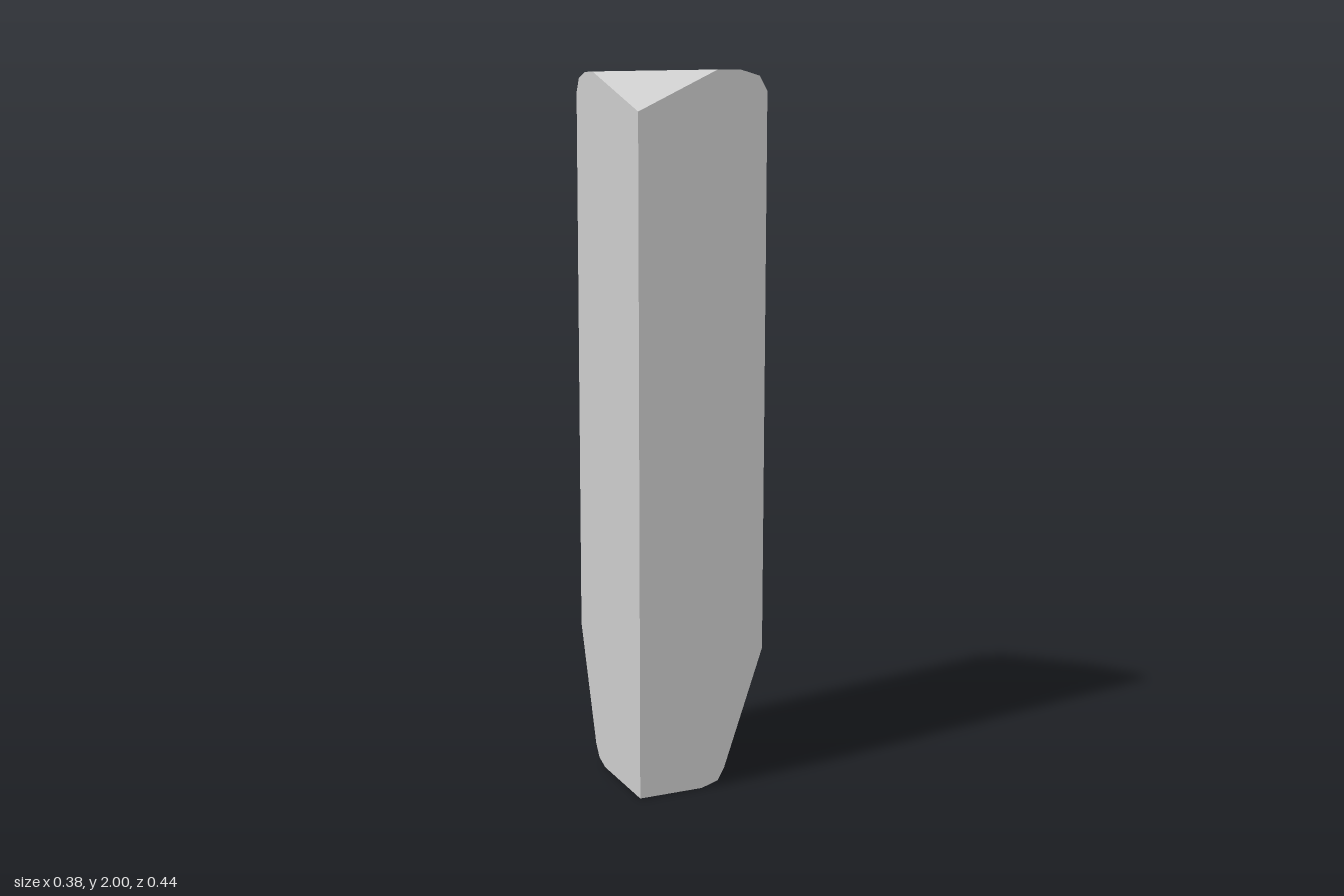
import * as THREE from 'three';
import { ConvexGeometry } from 'three/addons/geometries/ConvexGeometry.js';

export function createModel() {
  const group = new THREE.Group();
  group.name = 'pillar';

  // Plan outline of the shaft; the two flat cut faces meet at the corner.
  const corner = [-0.19, 0.22];
  const shaft = [[0.188, 0.22], [0.075, -0.005], [-0.092, -0.175], [-0.19, -0.222]];

  // Horizontal rings from the foot up: [height, [x, z] points].
  const rings = [
    // flat underside and its rounded rim
    [0, [corner, [0, 0.22], [-0.06, 0.11], [-0.14, 0], [-0.19, -0.04]]],
    [0.015, [[0.05, 0.22], [0.035, 0.17], [-0.015, 0.065], [-0.13, -0.055], [-0.19, -0.085]]],
    [0.05, [[0.07, 0.22], [0.055, 0.17], [0, 0.04], [-0.13, -0.08], [-0.19, -0.11]]],
    // top of the tapered foot
    [0.365, [[0.163, 0.17], [0.093, 0.03]]],
    [0.39, shaft],
    // rounded upper rim
    [1.945, shaft],
    [1.985, [[0.165, 0.22], [0.15, 0.16], [0.09, 0.05], [0.06, 0.01],
      [-0.11, -0.16], [-0.14, -0.195], [-0.19, -0.203]]],
    // flat crest, sloping down to the low corner
    [2, [[0.11, 0.22], [0.11, 0.17], [0.055, 0.06], [-0.16, -0.15],
      [-0.19, -0.155], [-0.19, -0.1], [0.04, 0.22]]],
    [1.89, [corner]],
  ];

  const points = rings.flatMap(([y, ring]) => ring.map(([x, z]) => new THREE.Vector3(x, y, z)));
  const body = new THREE.Mesh(
    new ConvexGeometry(points),
    new THREE.MeshStandardMaterial({ color: 0xcccccc, flatShading: true }),
  );
  body.name = 'stoneBody';
  group.add(body);
  return group;
}
